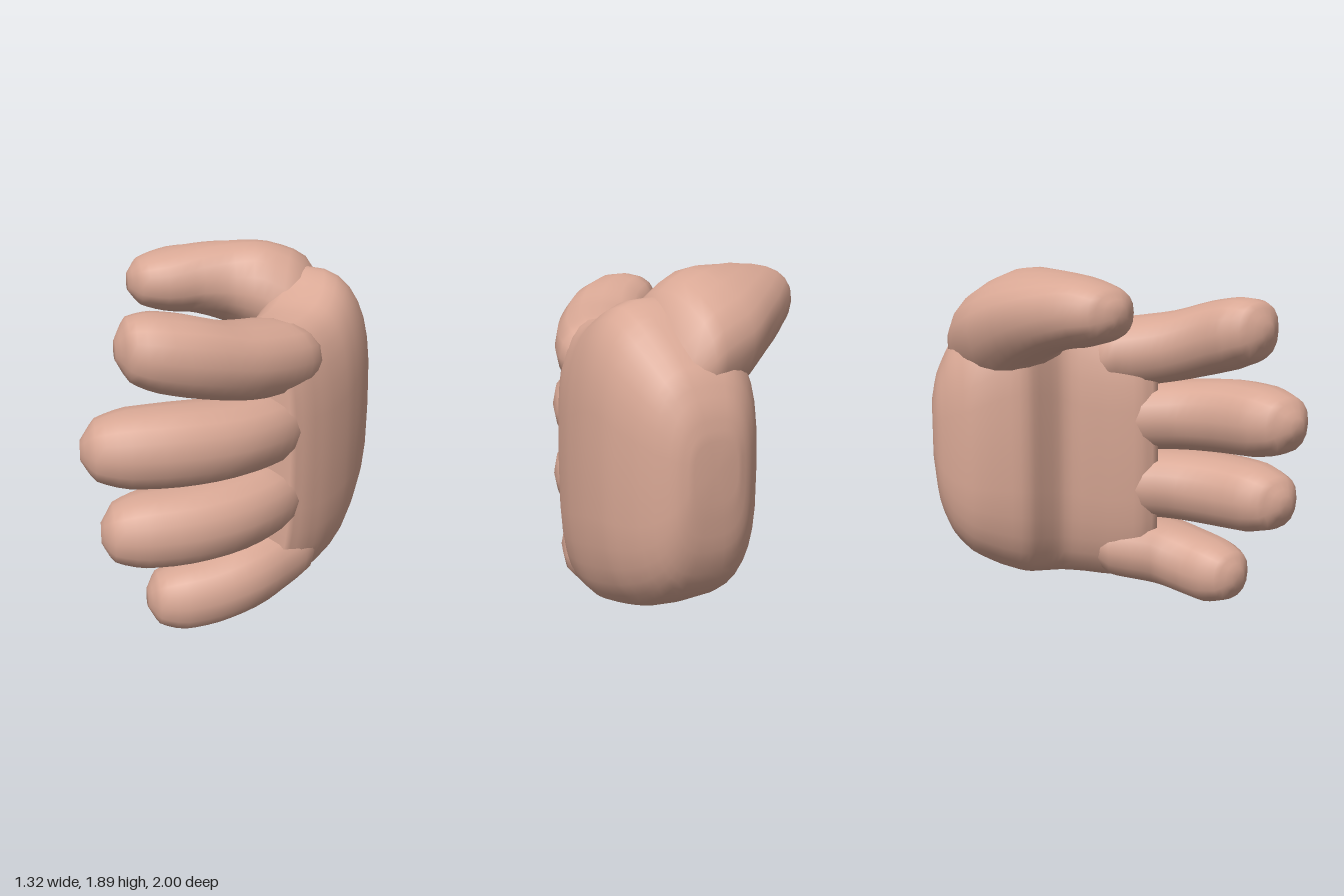
import * as THREE from 'three';

const skin = new THREE.MeshStandardMaterial({ color: 0xd9a895 });
skin.name = 'skin';

// Closed loft through stations [x, y, z, half width, half height, roll];
// rings are superellipses turned along the path, or kept square to z.
function loft(name, stations, { sides = 16, steps = 3, power = 2.3, square = false } = {}) {
  const path = new THREE.CatmullRomCurve3(stations.map(s => new THREE.Vector3(s[0], s[1], s[2])));
  const size = new THREE.CatmullRomCurve3(stations.map(s => new THREE.Vector3(s[3], s[4], s[5] ?? 0)));
  const rings = (stations.length - 1) * steps;
  const up = new THREE.Vector3(0, 1, 0);
  const pos = [], index = [];
  const round = v => Math.sign(v) * Math.pow(Math.abs(v), 2 / power);

  for (let i = 0; i <= rings; i++) {
    const c = path.getPoint(i / rings), r = size.getPoint(i / rings);
    const along = path.getTangent(i / rings).setY(0).normalize();
    if (square) along.set(0, 0, 1);
    const side = up.clone().cross(along).applyAxisAngle(along, r.z);
    const rise = up.clone().applyAxisAngle(along, r.z);
    for (let j = 0; j < sides; j++) {
      const a = (j / sides) * Math.PI * 2;
      const p = c.clone()
        .addScaledVector(side, round(Math.cos(a)) * r.x)
        .addScaledVector(rise, round(Math.sin(a)) * r.y);
      pos.push(p.x, p.y, p.z);
      if (i < rings) {
        const k = (j + 1) % sides, b = i * sides, n = b + sides;
        index.push(b + j, b + k, n + j, b + k, n + k, n + j);
      }
    }
  }
  // End caps
  const first = pos.length / 3, last = rings * sides;
  for (const t of [0, 1]) pos.push(...path.getPoint(t).toArray());
  for (let j = 0; j < sides; j++) {
    const k = (j + 1) % sides;
    index.push(first, k, j, first + 1, last + j, last + k);
  }
  const geo = new THREE.BufferGeometry();
  geo.setAttribute('position', new THREE.Float32BufferAttribute(pos, 3));
  geo.setIndex(index);
  geo.computeVertexNormals();
  const mesh = new THREE.Mesh(geo, skin);
  mesh.name = name;
  return mesh;
}

export function createModel() {
  const hand = new THREE.Group();
  hand.name = 'hand';

  // Palm and heel: [z, inner x, outer x, bottom y, top y]
  const palm = [
    [-1.0, 0.12, 0.36, 0.85, 1.15],
    [-0.97, 0.04, 0.44, 0.6, 1.3],
    [-0.9, -0.04, 0.52, 0.42, 1.45],
    [-0.8, -0.11, 0.58, 0.31, 1.56],
    [-0.64, -0.135, 0.64, 0.22, 1.7],
    [-0.5, -0.13, 0.66, 0.17, 1.76],
    [-0.4, -0.05, 0.665, 0.15, 1.74],
    [-0.29, 0.03, 0.66, 0.135, 1.68],
    [-0.15, 0.03, 0.64, 0.12, 1.615],
    [0.0, 0.025, 0.6, 0.1, 1.59],
    [0.14, 0.025, 0.54, 0.11, 1.58],
    [0.24, 0.07, 0.47, 0.18, 1.52],
  ].map(([z, x0, x1, y0, y1]) => [(x0 + x1) / 2, (y0 + y1) / 2, z, (x1 - x0) / 2, (y1 - y0) / 2]);
  hand.add(loft('palm', palm, { sides: 32, power: 3, square: true }));

  // Curled fingers
  hand.add(loft('indexFinger', [
    [0.32, 1.33, -0.2, 0.15, 0.1],
    [0.3, 1.39, 0.0, 0.265, 0.19],
    [0.255, 1.405, 0.16, 0.26, 0.2],
    [0.17, 1.435, 0.35, 0.25, 0.2],
    [0.045, 1.49, 0.53, 0.235, 0.205],
    [-0.1, 1.53, 0.655, 0.22, 0.195],
    [-0.21, 1.55, 0.725, 0.165, 0.155],
    [-0.26, 1.55, 0.76, 0.05, 0.05],
  ]));
  hand.add(loft('middleFinger', [
    [0.32, 1.03, -0.12, 0.18, 0.14],
    [0.255, 1.04, 0.2, 0.25, 0.195],
    [0.165, 1.05, 0.44, 0.245, 0.2],
    [-0.005, 1.06, 0.64, 0.235, 0.205],
    [-0.2, 1.06, 0.775, 0.22, 0.195],
    [-0.335, 1.06, 0.855, 0.165, 0.15],
    [-0.4, 1.06, 0.89, 0.05, 0.05],
  ]));
  hand.add(loft('ringFinger', [
    [0.32, 0.65, -0.12, 0.18, 0.14],
    [0.255, 0.65, 0.2, 0.25, 0.195],
    [0.175, 0.64, 0.43, 0.245, 0.2],
    [0.03, 0.63, 0.62, 0.235, 0.2],
    [-0.14, 0.625, 0.755, 0.215, 0.19],
    [-0.26, 0.62, 0.835, 0.16, 0.145],
    [-0.315, 0.62, 0.865, 0.05, 0.05],
  ]));
  hand.add(loft('littleFinger', [
    [0.32, 0.36, -0.2, 0.15, 0.1],
    [0.3, 0.29, 0.0, 0.255, 0.18],
    [0.26, 0.27, 0.15, 0.245, 0.19],
    [0.2, 0.24, 0.32, 0.23, 0.19],
    [0.09, 0.2, 0.46, 0.21, 0.185],
    [-0.02, 0.18, 0.55, 0.195, 0.178],
    [-0.125, 0.175, 0.62, 0.145, 0.135],
    [-0.17, 0.175, 0.65, 0.05, 0.05],
  ]));

  // Thumb rising from the heel and reaching over the palm
  hand.add(loft('thumb', [
    [0.46, 1.25, -0.62, 0.1, 0.12, 0.5],
    [0.26, 1.47, -0.58, 0.33, 0.31, 0.5],
    [0.05, 1.575, -0.53, 0.34, 0.285, 0.45],
    [-0.14, 1.64, -0.45, 0.285, 0.235, 0.3],
    [-0.31, 1.675, -0.33, 0.25, 0.195, 0.15],
    [-0.46, 1.68, -0.2, 0.215, 0.165, 0],
    [-0.56, 1.68, -0.125, 0.16, 0.125, 0],
    [-0.61, 1.68, -0.09, 0.05, 0.05, 0],
  ], { sides: 20 }));
  return hand;
}
